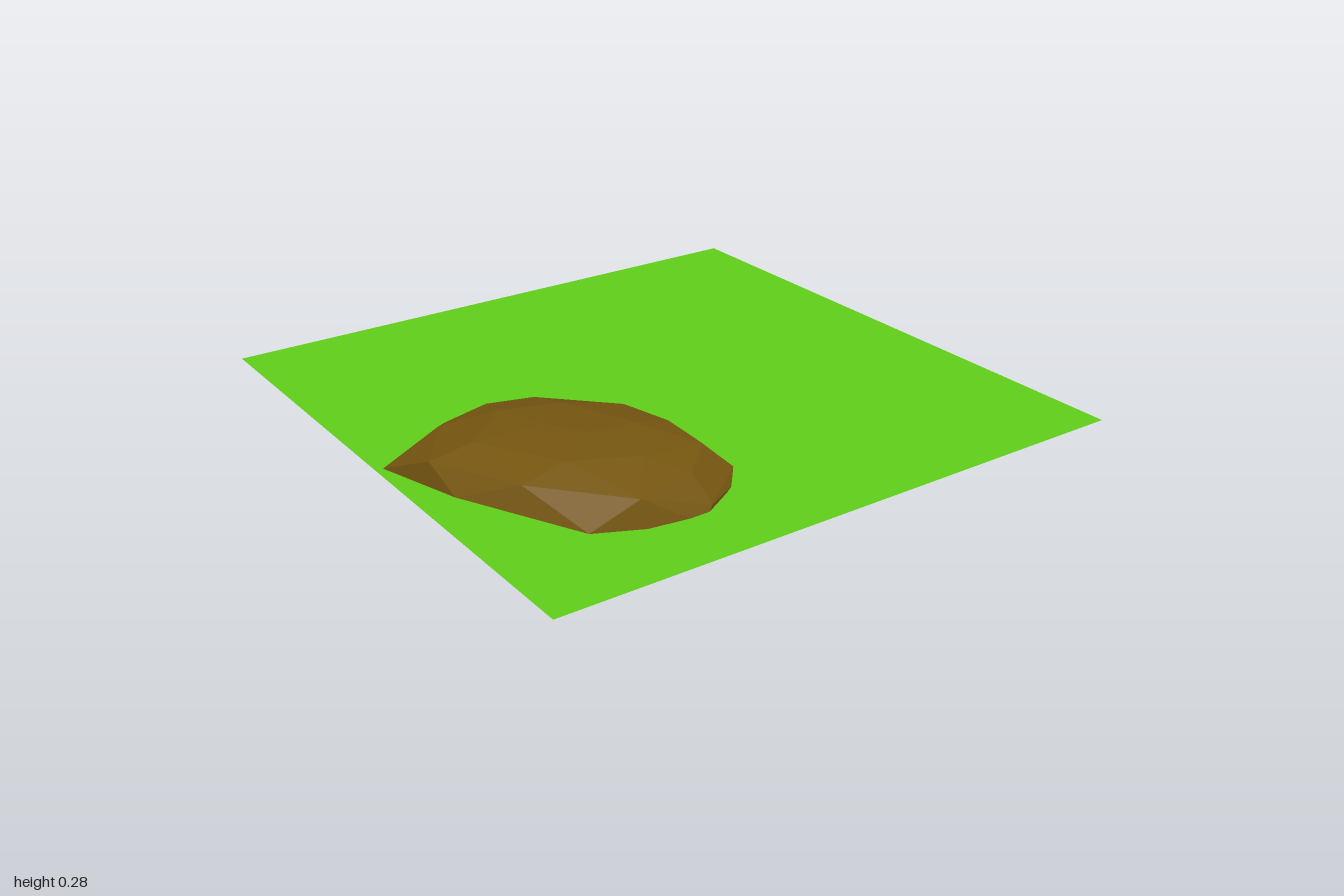
import * as THREE from 'three';
import { ConvexGeometry } from 'three/addons/geometries/ConvexGeometry.js';

const GROUND_Y = 0.125;

// Corners of the faceted boulder, in rings from the bottom up.
const boulderRings = [
  // underside
  [[0.2, 0, 0.38], [0.47, 0.08, 0.21], [0.06, 0.07, 0.44], [0.79, 0.1, 0.38]],
  // widest outline
  [
    [0.03, 0.13, 0.98], [0.36, 0.16, 0.92], [0.73, 0.15, 0.72], [0.77, 0.14, 0.34],
    [0.7, 0.13, 0.22], [0.65, 0.16, 0.175], [0.42, 0.17, 0.165], [0.21, 0.14, 0.21],
    [-0.03, 0.13, 0.44], [-0.07, 0.17, 0.52], [-0.07, 0.17, 0.72],
  ],
  // shoulder
  [
    [0.23, 0.22, 0.93], [0.52, 0.23, 0.8], [0.74, 0.21, 0.56], [0.7, 0.215, 0.36],
    [0.6, 0.235, 0.25], [0.42, 0.235, 0.24], [0.23, 0.225, 0.27], [0.02, 0.22, 0.46],
    [-0.03, 0.215, 0.6], [0.04, 0.22, 0.8],
  ],
  // crown
  [
    [0.26, 0.258, 0.8], [0.52, 0.262, 0.66], [0.6, 0.255, 0.46], [0.42, 0.262, 0.36],
    [0.18, 0.262, 0.46], [0.12, 0.26, 0.64], [0.3, 0.275, 0.6], [0.42, 0.273, 0.52],
  ],
];

export function createModel() {
  const model = new THREE.Group();

  // flat square of grass
  const ground = new THREE.Mesh(
    new THREE.PlaneGeometry(2, 2).rotateX(-Math.PI / 2).translate(0, GROUND_Y, 0),
    new THREE.MeshStandardMaterial({ color: 0x5fcd1a, side: THREE.DoubleSide })
  );
  ground.name = 'ground';

  // boulder sunk halfway through the grass
  const corners = boulderRings.flat().map((p) => new THREE.Vector3(...p));
  const boulder = new THREE.Mesh(
    new ConvexGeometry(corners),
    new THREE.MeshStandardMaterial({ color: 0x755510, flatShading: true })
  );
  boulder.name = 'boulder';

  model.add(ground, boulder);
  return model;
}
